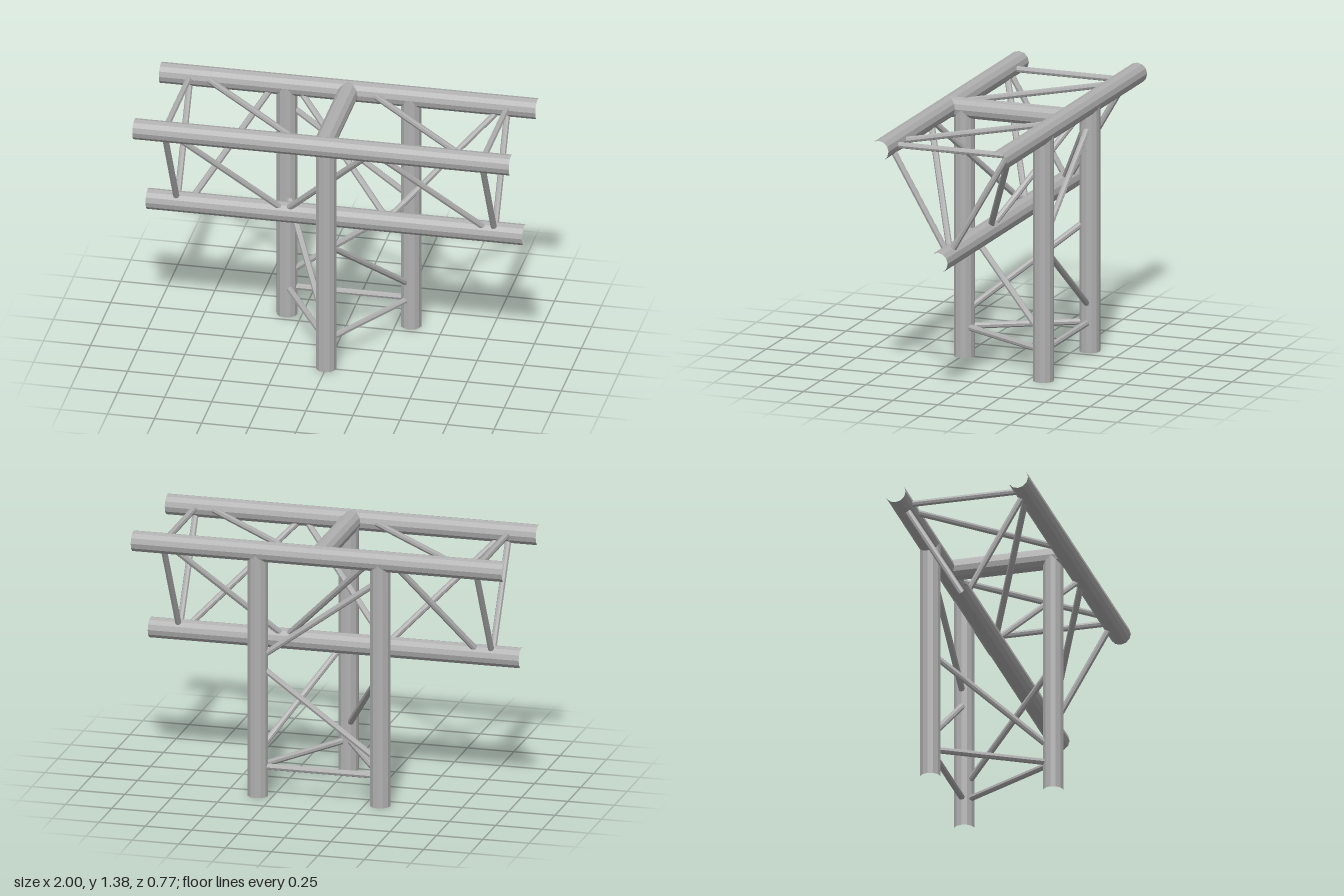
import * as THREE from 'three';

export function createModel() {
  const model = new THREE.Group();
  model.name = 'trussJunction';
  const aluminium = new THREE.MeshStandardMaterial({ color: 0xb0b0b0, flatShading: true });
  aluminium.name = 'aluminium grey';

  const UP = new THREE.Vector3(0, 1, 0);

  // Open-ended tube between two points
  function tube(name, a, b, radius, sides) {
    const start = new THREE.Vector3(...a);
    const end = new THREE.Vector3(...b);
    const dir = end.clone().sub(start);
    const geo = new THREE.CylinderGeometry(radius, radius, dir.length(), sides, 1, true);
    const mesh = new THREE.Mesh(geo, aluminium);
    mesh.name = name;
    mesh.position.copy(start).add(end).multiplyScalar(0.5);
    mesh.quaternion.setFromUnitVectors(UP, dir.normalize());
    model.add(mesh);
  }
  const pipe = (name, a, b) => tube(name, a, b, 0.055, 12);
  const brace = (name, a, b) => tube(name, a, b, 0.017, 8);

  const TOP = 1.33, LOW = 0.76, Z = 0.33;

  // Horizontal truss chords and the cross tube joining the upper pair
  pipe('frontUpperChord', [-1, TOP, Z], [1, TOP, Z]);
  pipe('backUpperChord', [-1, TOP, -Z], [1, TOP, -Z]);
  pipe('lowerChord', [-1, LOW, 0], [1, LOW, 0]);
  pipe('crossTube', [0, TOP, -Z], [0, TOP, Z]);

  // Legs
  const front = [0, 0.243], left = [0.33, -0.327], right = [-0.33, -0.327];
  const at = ([x, z], y) => [x, y, z];
  pipe('frontLeg', at(front, 0), at(front, TOP));
  pipe('backLeftLeg', at(left, 0), at(left, TOP));
  pipe('backRightLeg', at(right, 0), at(right, TOP));

  // Triangular end frames
  for (const x of [-0.843, 0.843]) {
    brace('endTopStrut', [x, TOP, -Z], [x, TOP, Z]);
    for (const z of [-Z, Z]) brace('endSideStrut', [x, TOP, z], [x, LOW, 0]);
  }

  // Sloping side diagonals: [upper x, lower x]
  for (const [xu, xl] of [[-0.82, -0.26], [0.27, -0.28], [0.26, 0.82]])
    brace('frontDiagonal', [xu, TOP, Z], [xl, LOW, 0]);
  for (const [xu, xl] of [[-0.395, -0.78], [-0.28, 0.28], [0.82, 0.26]])
    brace('backDiagonal', [xu, TOP, -Z], [xl, LOW, 0]);

  // Flat top diagonals
  for (const [xb, xf] of [[-0.775, -0.1], [0.11, 0.78]])
    brace('topDiagonal', [xb, TOP, -Z], [xf, TOP, Z]);

  // Leg bracing: a low rail and a rising diagonal on each face
  for (const [a, b] of [[front, left], [left, right], [right, front]]) {
    brace('legRail', at(a, 0.16), at(b, 0.16));
    brace('legDiagonal', at(a, 0.715), at(b, 0.235));
  }
  brace('upperLegDiagonal', at(right, 1.225), at(left, 0.745));

  return model;
}
